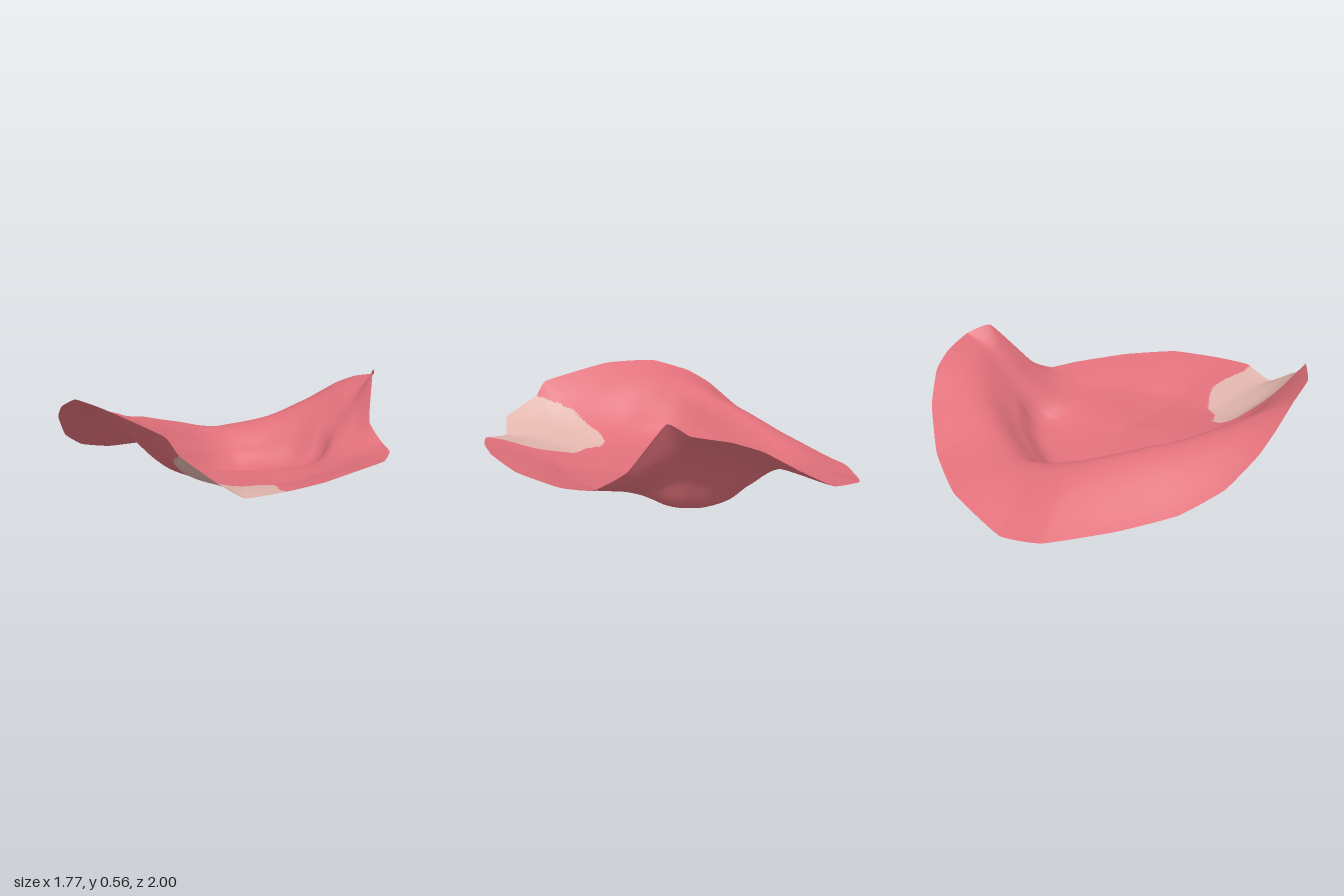
import * as THREE from 'three';

// Closed loops of [x, z, height], running front -> right -> back -> left
const rim = [
  [0.04, 0.98, 0.2], [-0.15, 0.955, 0.17], [-0.27, 1, 0.245], [-0.41, 0.88, 0.34], [-0.47, 0.84, 0.42],
  [-0.7, 0.55, 0.5], [-0.81, 0.3, 0.51], [-0.87, 0.1, 0.45], [-0.885, -0.03, 0.38], [-0.85, -0.2, 0.26],
  [-0.76, -0.4, 0.17], [-0.6, -0.63, 0.11], [-0.41, -0.89, 0.075], [-0.22, -0.98, 0.06], [0.1, -1, 0.14],
  [0.38, -0.91, 0.2], [0.61, -0.78, 0.33], [0.75, -0.65, 0.44], [0.82, -0.53, 0.49], [0.88, -0.37, 0.52],
  [0.83, -0.25, 0.55], [0.745, -0.05, 0.3], [0.765, 0.1, 0.21], [0.74, 0.27, 0.2], [0.61, 0.54, 0.21],
  [0.42, 0.76, 0.225], [0.2, 0.91, 0.21],
];
const crest = [
  [0.03, 0.8, 0.175], [-0.13, 0.8, 0.165], [-0.23, 0.82, 0.195], [-0.34, 0.74, 0.23], [-0.41, 0.67, 0.28],
  [-0.57, 0.46, 0.375], [-0.66, 0.27, 0.42], [-0.64, 0.1, 0.41], [-0.59, -0.04, 0.385], [-0.52, -0.16, 0.35],
  [-0.43, -0.29, 0.325], [-0.32, -0.43, 0.285], [-0.19, -0.55, 0.245], [-0.04, -0.62, 0.205], [0.12, -0.64, 0.19],
  [0.32, -0.6, 0.24], [0.52, -0.54, 0.325], [0.66, -0.47, 0.4], [0.72, -0.41, 0.43], [0.77, -0.33, 0.44],
  [0.73, -0.22, 0.38], [0.68, -0.06, 0.24], [0.67, 0.1, 0.18], [0.63, 0.26, 0.175], [0.53, 0.46, 0.185],
  [0.36, 0.68, 0.2], [0.18, 0.77, 0.185],
];
const wall = [
  [0.04, 0.6, 0.14], [-0.1, 0.6, 0.135], [-0.18, 0.6, 0.145], [-0.27, 0.55, 0.16], [-0.32, 0.5, 0.175],
  [-0.43, 0.36, 0.21], [-0.47, 0.22, 0.235], [-0.47, 0.08, 0.225], [-0.43, -0.03, 0.215], [-0.37, -0.11, 0.2],
  [-0.28, -0.22, 0.17], [-0.18, -0.33, 0.145], [-0.07, -0.42, 0.11], [0.03, -0.46, 0.085], [0.12, -0.48, 0.09],
  [0.26, -0.45, 0.105], [0.42, -0.4, 0.165], [0.53, -0.33, 0.22], [0.58, -0.29, 0.24], [0.6, -0.23, 0.235],
  [0.58, -0.16, 0.2], [0.54, -0.04, 0.15], [0.52, 0.1, 0.13], [0.49, 0.22, 0.13], [0.42, 0.37, 0.14],
  [0.29, 0.53, 0.15], [0.15, 0.6, 0.145],
];

// Pale patch outline in plan, [x, z]
const patch = [
  [-0.41, 1.1], [-0.41, 0.65], [-0.36, 0.55], [-0.33, 0.47], [-0.27, 0.41], [-0.21, 0.42], [-0.16, 0.49],
  [-0.08, 0.52], [-0.02, 0.6], [0.03, 0.68], [0.03, 0.78], [0.01, 0.9], [0.025, 1.1],
];

function inPatch(x, z) {
  let inside = false;
  for (let i = 0, j = patch.length - 1; i < patch.length; j = i++) {
    const [xi, zi] = patch[i], [xj, zj] = patch[j];
    if ((zi > z) !== (zj > z) && x < ((xj - xi) * (z - zi)) / (zj - zi) + xi) inside = !inside;
  }
  return inside;
}

// Bowl floor height, lowest towards the back
const floorY = (x, z) => 0.075 + 0.16 * z - 0.2 * z * z + 0.2 * (x - 0.1) ** 2;

// Smooth closed loop; a low tension gives nearly straight segments between points
const closedLoop = (loop, tension) => new THREE.CatmullRomCurve3(
  loop.map(([x, z, y]) => new THREE.Vector3(x, y, z)), true, 'catmullrom', tension);

function petalGeometry() {
  const around = rim.length * 14, steps = 50;
  const cx = 0.1, cz = 0.1;
  const centre = new THREE.Vector3(cx, floorY(cx, cz), cz);
  const floor = wall.map(([x, z]) => {
    const fx = cx + (x - cx) * 0.77, fz = cz + (z - cz) * 0.77;
    return [fx, fz, floorY(fx, fz)];
  });
  const loops = [closedLoop(floor, 0.5), closedLoop(wall, 0.5), closedLoop(crest, 0.5), closedLoop(rim, 0.2)];

  // Sweep a cross-section from the centre out to the rim
  const points = [centre];
  for (let i = 0; i < around; i++) {
    const section = new THREE.CatmullRomCurve3([centre, ...loops.map((l) => l.getPoint(i / around))]);
    for (let r = 1; r <= steps; r++) points[1 + (r - 1) * around + i] = section.getPoint(r / steps);
  }
  const low = Math.min(...points.map((p) => p.y));
  points.forEach((p) => { p.y -= low; });

  // Sort faces into petal and patch
  const id = (r, i) => (r === 0 ? 0 : 1 + (r - 1) * around + (i % around));
  const faces = [[], []];
  const add = (a, b, c) => {
    const x = (points[a].x + points[b].x + points[c].x) / 3;
    const z = (points[a].z + points[b].z + points[c].z) / 3;
    faces[inPatch(x, z) ? 1 : 0].push(a, b, c);
  };
  for (let r = 0; r < steps; r++) {
    for (let i = 0; i < around; i++) {
      add(id(r, i), id(r + 1, i + 1), id(r + 1, i));
      if (r > 0) add(id(r, i), id(r, i + 1), id(r + 1, i + 1));
    }
  }
  const geometry = new THREE.BufferGeometry().setFromPoints(points);
  geometry.setIndex([...faces[0], ...faces[1]]);
  geometry.addGroup(0, faces[0].length, 0);
  geometry.addGroup(faces[0].length, faces[1].length, 1);
  geometry.computeVertexNormals();
  return geometry;
}

export function createModel() {
  const pink = new THREE.MeshStandardMaterial({ name: 'petalPink', color: 0xe0707a, side: THREE.DoubleSide });
  const pale = new THREE.MeshStandardMaterial({ name: 'palePatch', color: 0xdfb4ac, side: THREE.DoubleSide });
  const petal = new THREE.Mesh(petalGeometry(), [pink, pale]);
  petal.name = 'petal';
  const group = new THREE.Group();
  group.name = 'flowerPetal';
  group.add(petal);
  return group;
}
